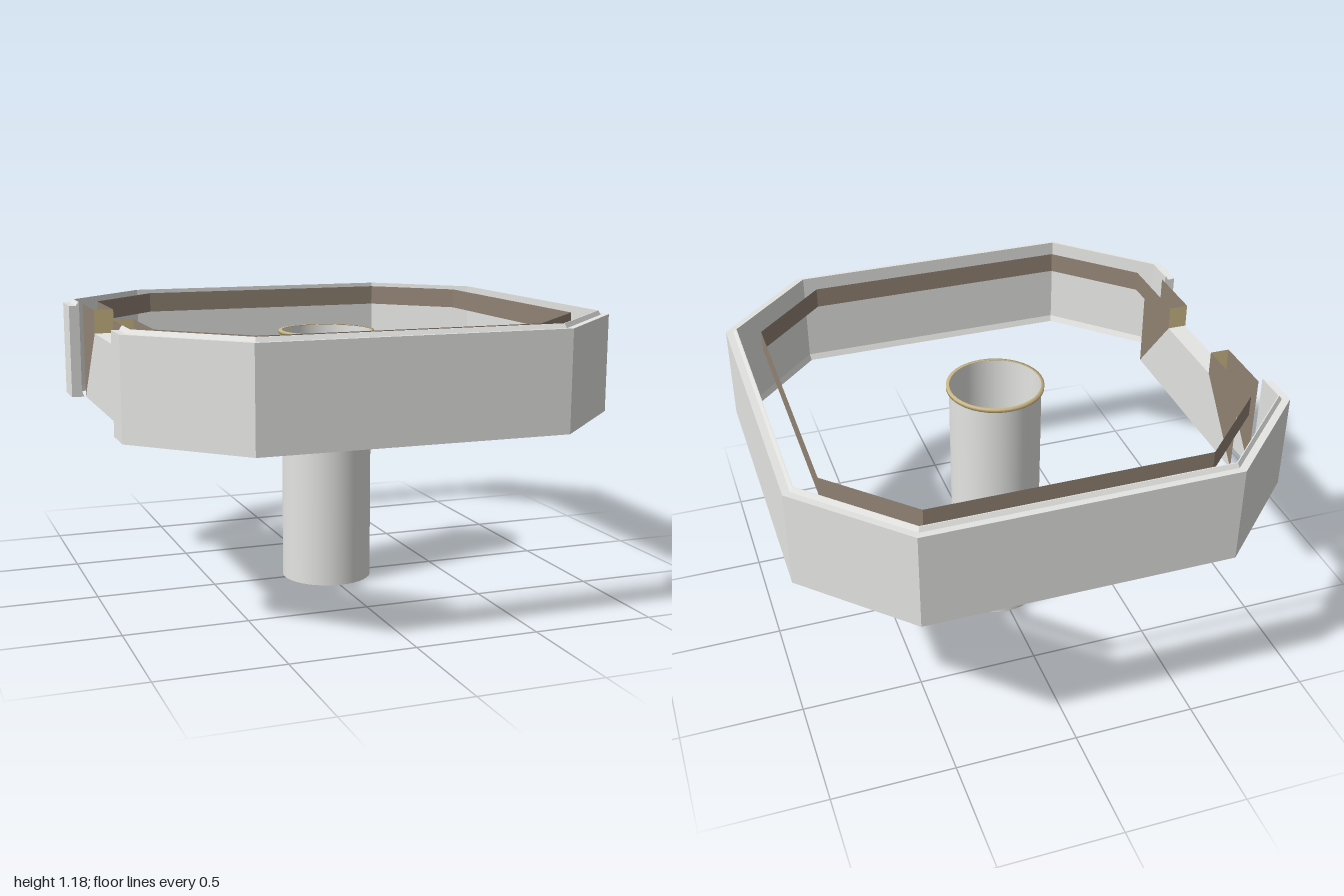
import * as THREE from 'three';

const mat = (name, color) => {
  const m = new THREE.MeshStandardMaterial({ color, side: THREE.DoubleSide });
  m.name = name;
  return m;
};

const GAP = 0.465; // half width of the doorway in the -x side

// Open octagon running from one side of the doorway to the other
function octagonPath(r) {
  const c = 0.615 - (1 - r) * 0.414;
  return [[-r, GAP], [-r, c], [-c, r], [c, r], [r, c], [r, -c], [c, -r], [-c, -r], [-r, -c], [-r, -GAP]];
}

// Sweeps a [radius, height] profile round the octagon, with flat faces
function sweep(profile, closed) {
  const rings = profile.map(([r, y]) => octagonPath(r).map(([x, z]) => [x, y, z]));
  const pos = [];
  const tri = (a, b, c) => pos.push(...a, ...b, ...c);
  const n = profile.length;
  for (let j = 0; j < (closed ? n : n - 1); j++) {
    const lo = rings[j], hi = rings[(j + 1) % n];
    for (let i = 0; i < lo.length - 1; i++) {
      tri(lo[i], lo[i + 1], hi[i + 1]);
      tri(lo[i], hi[i + 1], hi[i]);
    }
  }
  if (closed) {
    // end caps at the doorway
    const e = rings[0].length - 1;
    for (let j = 1; j < n - 1; j++) {
      tri(rings[0][0], rings[j][0], rings[j + 1][0]);
      tri(rings[0][e], rings[j + 1][e], rings[j][e]);
    }
  }
  const g = new THREE.BufferGeometry();
  g.setAttribute('position', new THREE.Float32BufferAttribute(pos, 3));
  g.computeVertexNormals();
  return g;
}

// Flat sheet in the z-y plane at a given x, facing -x or +x
function sideSheet(points, x, flip) {
  const s = new THREE.Shape(points.map(([z, y]) => new THREE.Vector2(flip ? -z : z, y)));
  return new THREE.ShapeGeometry(s).rotateY(flip ? Math.PI / 2 : -Math.PI / 2).translate(x, 0, 0);
}

export function createModel() {
  const model = new THREE.Group();
  const grey = mat('light grey', 0xe5e5e3);
  const brown = mat('brown', 0x928374);
  const tan = mat('tan', 0xcdb987);
  const black = mat('black', 0x040404);
  const add = (name, geometry, material, parent = model) => {
    const m = new THREE.Mesh(geometry, material);
    m.name = name;
    parent.add(m);
    return m;
  };

  // Octagonal wall: flat rim, small raised inner lip and bevelled foot
  const wall = [[1, 0.764], [1, 1.162], [0.97, 1.16], [0.96, 1.177], [0.956, 1.177], [0.957, 0.79], [0.947, 0.764]];
  add('wall', sweep(wall, true), grey);

  // Padding band inside the top of the wall
  add('innerBand', sweep([[0.86, 1.168], [0.86, 1.082]], false), brown);

  // Doorway panel, lower than the wall, with a flat sill
  const doorway = new THREE.Group();
  doorway.name = 'doorway';
  model.add(doorway);
  const panel = [[-GAP, 0.764], [GAP, 0.764], [0.2, 1.07], [-0.2, 1.07]];
  const cheek = [[GAP, 0.764], [GAP, 1.168], [0.2, 1.168], [0.2, 1.07]];
  for (const [x, flip] of [[-0.94, false], [-0.86, true]]) {
    add('doorwayPanel', sideSheet(panel, x, flip), grey, doorway);
    for (const s of [1, -1]) {
      add('doorwayCheek', sideSheet(cheek.map(([z, y]) => [z * s, y]), x, flip), brown, doorway);
    }
  }
  const sill = new THREE.PlaneGeometry(0.08, 0.4).rotateX(-Math.PI / 2).translate(-0.9, 1.07, 0);
  add('doorwaySill', sill, grey, doorway);
  for (const s of [1, -1]) {
    const end = new THREE.PlaneGeometry(0.08, 0.098);
    if (s > 0) end.rotateY(Math.PI);
    add('cheekEnd', end.translate(-0.9, 1.119, s * 0.2), tan, doorway);
  }

  // Hollow central column
  const column = new THREE.Group();
  column.name = 'column';
  column.position.x = 0.007;
  model.add(column);
  add('columnTube', new THREE.CylinderGeometry(0.19, 0.19, 1.07, 40, 1, true).translate(0, 0.535, 0), grey, column);
  add('columnBase', new THREE.CircleGeometry(0.19, 40).rotateX(Math.PI / 2), black, column);
  const collar = [[0.192, 1.058], [0.202, 1.058], [0.202, 1.072], [0.189, 1.072]];
  add('columnCollar', new THREE.LatheGeometry(collar.map(([r, y]) => new THREE.Vector2(r, y)), 40), tan, column);

  return model;
}
